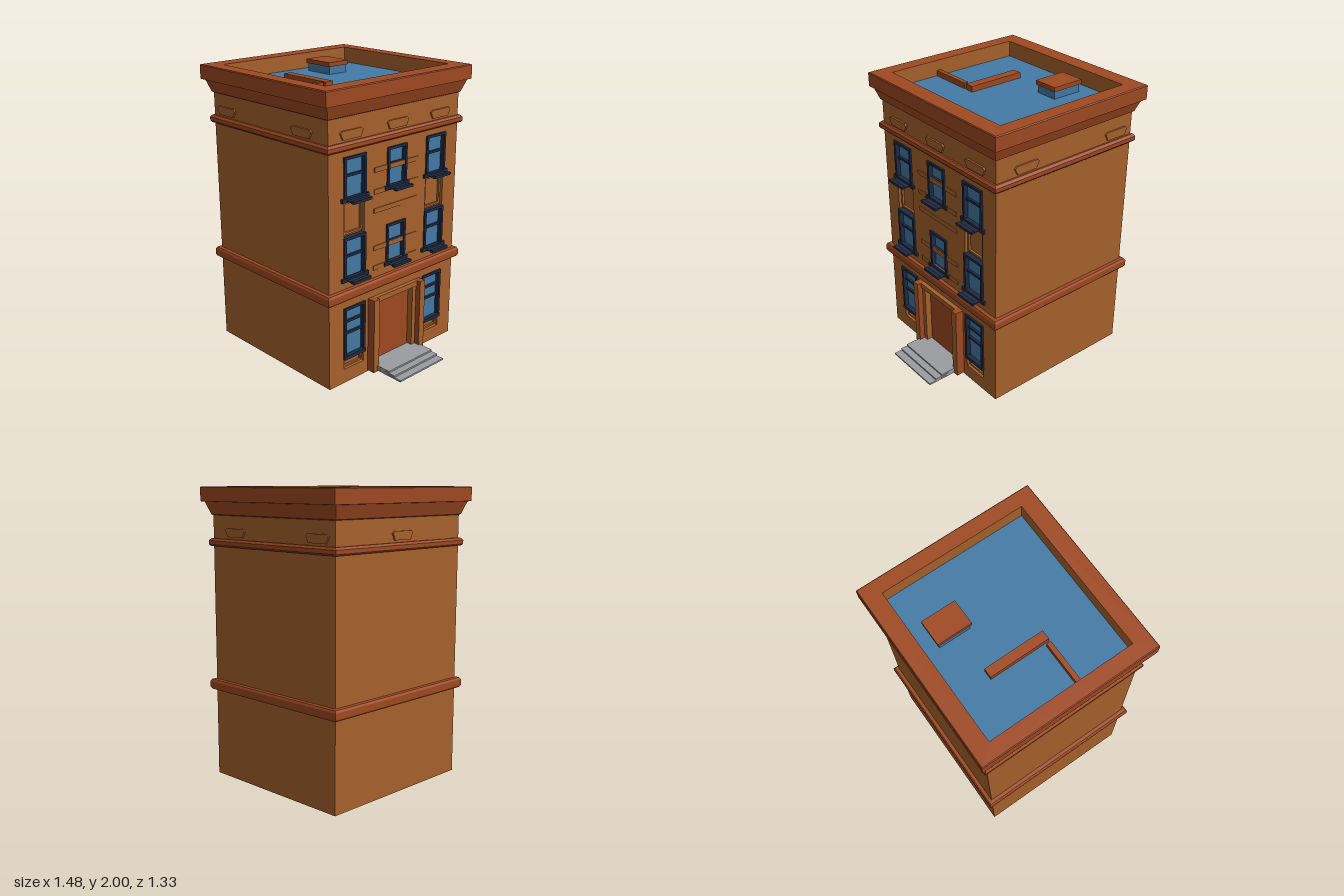
import * as THREE from 'three';

const mat = (name, color) => {
  const m = new THREE.MeshStandardMaterial({ color });
  m.name = name;
  return m;
};

export function createModel() {
  const model = new THREE.Group();
  model.name = 'townhouse';
  const tan = mat('tan brick', 0xa8622d);
  const rust = mat('rust trim', 0xa04a22);
  const blue = mat('blue glass and roof', 0x437ba6);
  const navy = mat('navy frames', 0x1f2a42);
  const grey = mat('grey stone', 0x9a9da1);

  const add = (name, geo, material, parent = model) => {
    const mesh = new THREE.Mesh(geo, material);
    mesh.name = name;
    parent.add(mesh);
    return mesh;
  };
  // Box given by its extents on each axis
  const box = (name, material, [x0, x1], [y0, y1], [z0, z1], parent) => {
    const m = add(name, new THREE.BoxGeometry(x1 - x0, y1 - y0, z1 - z0), material, parent);
    m.position.set((x0 + x1) / 2, (y0 + y1) / 2, (z0 + z1) / 2);
    return m;
  };
  // Mitred moulding around the body; profile points are [outset x, y, outset z]
  const ring = (name, material, profile) => {
    const pos = [];
    const corner = ([ox, y, oz = ox], i) => [
      i < 2 ? 0.46 + ox : -0.685 - ox, y, i === 0 || i === 3 ? 0.6 + oz : -0.6 - oz];
    for (let j = 0; j < profile.length - 1; j++) {
      for (let i = 0; i < 4; i++) {
        const k = (i + 1) % 4;
        const a = corner(profile[j], i), b = corner(profile[j], k);
        const c = corner(profile[j + 1], k), d = corner(profile[j + 1], i);
        pos.push(...a, ...b, ...c, ...a, ...c, ...d);
      }
    }
    const g = new THREE.BufferGeometry();
    g.setAttribute('position', new THREE.Float32BufferAttribute(pos, 3));
    g.computeVertexNormals();
    return add(name, g, material);
  };
  const rectPath = (P, z, w, y0, y1) => {
    const p = new P();
    p.moveTo(-z - w / 2, y0);
    p.lineTo(-z + w / 2, y0);
    p.lineTo(-z + w / 2, y1);
    p.lineTo(-z - w / 2, y1);
    p.closePath();
    return p;
  };
  // Extruded plate facing +x, from x0 to x1
  const plate = (name, material, shape, x0, x1, parent) => {
    const g = new THREE.ExtrudeGeometry(shape, { depth: x1 - x0, bevelEnabled: false });
    g.rotateY(Math.PI / 2);
    g.translate(x0, 0, 0);
    return add(name, g, material, parent);
  };
  const frame = (name, material, z, w, y0, y1, t, x0, x1, parent) => {
    const s = rectPath(THREE.Shape, z, w, y0, y1);
    s.holes.push(rectPath(THREE.Path, z, w - 2 * t, y0 + t, y1 - t));
    return plate(name, material, s, x0, x1, parent);
  };

  // Main body and the entrance wall with its recesses
  box('body', tan, [-0.685, 0.43], [0, 1.81], [-0.6, 0.6]);
  const wall = rectPath(THREE.Shape, 0, 1.2, 0, 1.81);
  const sideZ = 0.379;
  for (const s of [-1, 1]) {
    wall.holes.push(rectPath(THREE.Path, s * sideZ, 0.18, 0.1, 0.54));
    wall.holes.push(rectPath(THREE.Path, s * sideZ, 0.18, 0.745, 1.555));
  }
  wall.holes.push(rectPath(THREE.Path, 0, 0.17, 0.75, 1.025));
  wall.holes.push(rectPath(THREE.Path, 0, 0.17, 1.285, 1.55));
  wall.holes.push(rectPath(THREE.Path, 0, 0.335, 0.05, 0.51));
  plate('entranceWall', tan, wall, 0.43, 0.46);

  // Bands and cornice
  ring('lowerBand', rust, [[0, 0.61], [0.024, 0.61], [0.033, 0.623], [0.033, 0.665], [0.024, 0.68], [0, 0.682]]);
  ring('upperBand', rust, [[0, 1.604], [0.018, 1.604], [0.025, 1.614], [0.025, 1.64], [0.012, 1.655], [0, 1.655]]);
  ring('cornice', rust, [[0, 1.81], [0.01, 1.815], [0.04, 1.9], [0.056, 1.902, 0.064], [0.056, 1.994, 0.064],
    [0.051, 2, 0.058], [-0.065, 2, -0.042]]);
  ring('parapetLining', tan, [[-0.065, 2, -0.042], [-0.065, 1.87, -0.042]]);

  // Roof and the things on it
  box('roof', blue, [-0.62, 0.395], [1.85, 1.89], [-0.558, 0.558]);
  box('hatchBase', blue, [-0.52, -0.3], [1.89, 1.95], [-0.27, -0.11]);
  box('hatchCap', rust, [-0.53, -0.29], [1.945, 1.975], [-0.28, -0.1]);
  box('roofWallLong', rust, [-0.385, 0.035], [1.89, 1.93], [0.165, 0.23]);
  box('roofWallShort', rust, [0.003, 0.035], [1.89, 1.93], [0.248, 0.555]);

  // Windows: frame, glass, rails and a projecting sill
  const makeWindow = (z, w, y0, y1, rails, sill) => {
    const g = new THREE.Group();
    g.name = 'window';
    model.add(g);
    frame('windowFrame', navy, z, w, y0, y1, 0.018, 0.432, 0.472, g);
    box('glass', blue, [0.432, 0.44], [y0 + 0.01, y1 - 0.01], [z - w / 2 + 0.01, z + w / 2 - 0.01], g);
    for (const y of rails) {
      box('rail', navy, [0.438, 0.456], [y - 0.008, y + 0.008], [z - w / 2 + 0.01, z + w / 2 - 0.01], g);
    }
    const h = w / 2 + (sill ? 0.022 : 0);
    box('sill', navy, [0.45, 0.476], [y0 - 0.004, y0 + 0.022], [z - h, z + h], g);
    if (sill) {
      box('sillShelf', navy, [0.47, 0.515], [y0 + 0.004, y0 + 0.009], [z - 0.08, z + 0.08], g);
      box('sillLip', navy, [0.512, 0.538], [y0 - 0.002, y0 + 0.016], [z - 0.08, z + 0.08], g);
    }
  };
  for (const s of [-1, 1]) {
    const z = s * sideZ;
    makeWindow(z, 0.192, 1.275, 1.56, [1.435], true);
    makeWindow(z, 0.192, 0.738, 1.032, [0.9], true);
    makeWindow(z, 0.192, 0.178, 0.546, [0.44, 0.355], false);
    // Recessed panels below the windows
    frame('panelMoulding', tan, z, 0.165, 1.045, 1.262, 0.014, 0.43, 0.445);
    frame('groundPanelMoulding', tan, z, 0.165, 0.105, 0.172, 0.012, 0.43, 0.445);
  }
  makeWindow(0, 0.18, 1.275, 1.553, [1.435], true);
  makeWindow(0, 0.18, 0.743, 1.03, [0.9], true);

  // Thin wall strips between the window columns
  for (const y of [1.425, 1.279, 1.151, 0.891, 0.752]) {
    box('wallStrip', tan, [0.458, 0.466], [y - 0.016, y + 0.016], [-0.207, 0.207]);
  }

  // Doorway with pilasters, jambs and lintel
  box('door', rust, [0.42, 0.436], [0.05, 0.51], [-0.168, 0.168]);
  for (const s of [-1, 1]) {
    box('pilaster', [tan, rust, rust, rust, rust, rust], [0.46, 0.52], [0.01, 0.546],
      [s * 0.225 - 0.025, s * 0.225 + 0.025]);
    box('jamb', tan, [0.43, 0.48], [0.01, 0.51], [s * 0.184 - 0.017, s * 0.184 + 0.017]);
  }
  box('lintel', tan, [0.45, 0.49], [0.508, 0.546], [-0.2, 0.2]);

  // Entrance steps as thin slabs
  [[0.63, 0.044], [0.68, 0.031], [0.735, 0.018]].forEach(([x, y]) =>
    box('step', grey, [0.44, x], [y, y + 0.012], [-0.217, 0.217]));

  // Tapered vents on the frieze
  const ventShape = new THREE.Shape();
  ventShape.moveTo(-0.075, 1.67);
  ventShape.lineTo(0.075, 1.67);
  ventShape.lineTo(0.097, 1.715);
  ventShape.lineTo(0.08, 1.727);
  ventShape.lineTo(-0.08, 1.727);
  ventShape.lineTo(-0.097, 1.715);
  ventShape.closePath();
  const ventGeo = new THREE.ExtrudeGeometry(ventShape, { depth: 0.012, bevelEnabled: false });
  const vent = (x, z, turn) => {
    const m = add('vent', ventGeo, tan);
    m.position.set(x, 0, z);
    m.rotation.y = turn;
  };
  for (const z of [-0.41, 0, 0.41]) vent(0.46, z, Math.PI / 2);
  for (const x of [-0.54, 0.225]) {
    vent(x, 0.6, 0);
    vent(x, -0.6, Math.PI);
  }
  vent(-0.685, 0, -Math.PI / 2);

  return model;
}
